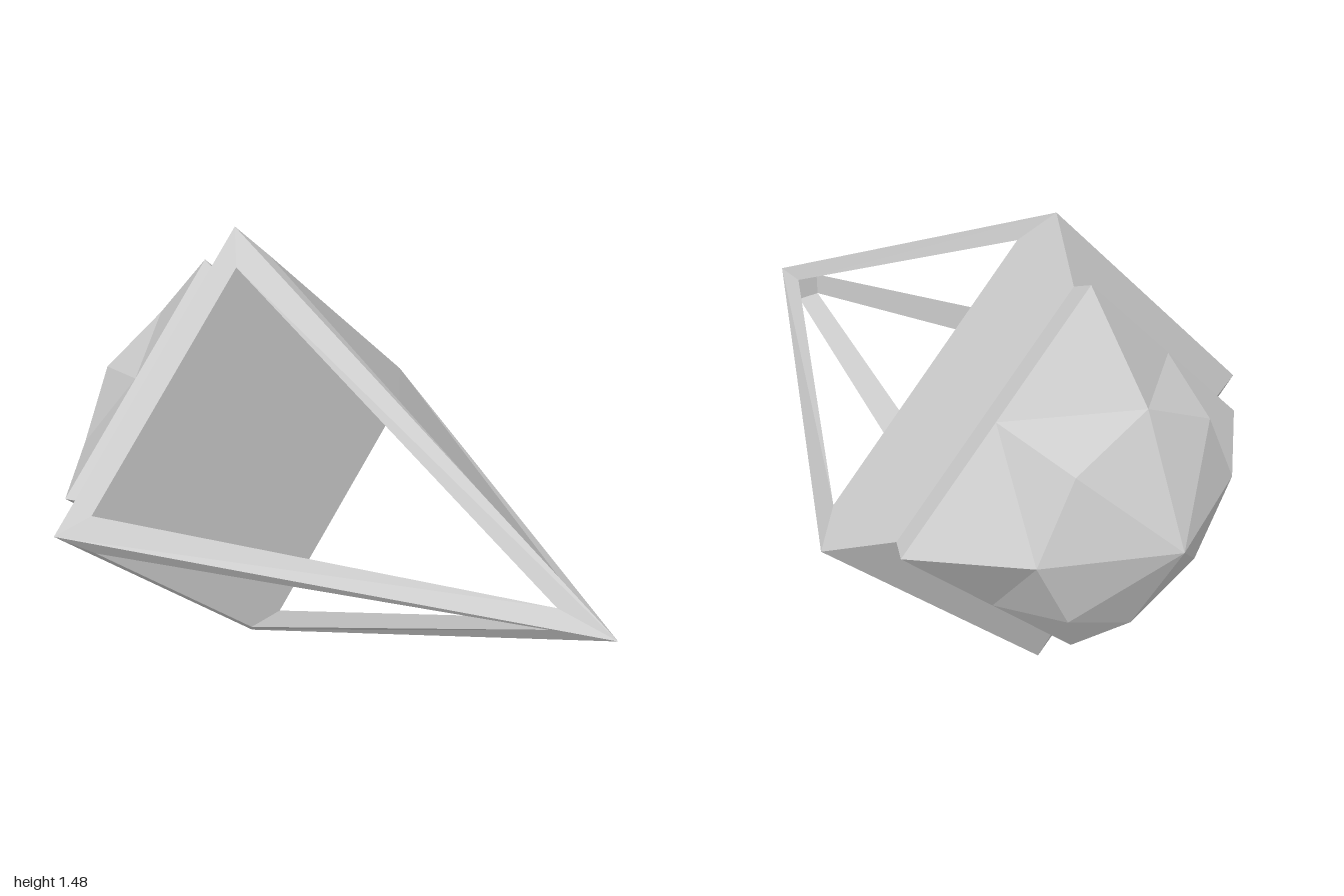
import * as THREE from 'three';

const material = new THREE.MeshStandardMaterial({ color: 0xcccccc, flatShading: true });

// Builds a mesh from convex faces of one quarter, repeated four times around the z axis
function quarterMesh(name, faces) {
  const points = [];
  const axis = new THREE.Vector3(0, 0, 1);
  for (let k = 0; k < 4; k++) {
    for (const face of faces) {
      const v = face.map((p) => new THREE.Vector3(...p).applyAxisAngle(axis, (k * Math.PI) / 2));
      for (let i = 1; i < v.length - 1; i++) points.push(v[0], v[i], v[i + 1]);
    }
  }
  const geometry = new THREE.BufferGeometry().setFromPoints(points);
  geometry.computeVertexNormals();
  const mesh = new THREE.Mesh(geometry, material);
  mesh.name = name;
  return mesh;
}

const mirrorY = ([x, y, z]) => [x, -y, z];

export function createModel() {
  const model = new THREE.Group();
  model.name = 'gemPyramid';
  const R = 0.74;

  // Corners of one pyramid side and of the triangular opening in it
  const P = [R, 0, -0.45], Q = [0, R, -0.45], tip = [0, 0, 1];
  const H1 = [0.653, 0.065, -0.376], H2 = [0.065, 0.653, -0.376], H3 = [0.036, 0.036, 0.826];

  // Open frame: outer borders, inner side of each strut, inside of the tip
  model.add(quarterMesh('pyramidFrame', [
    [P, Q, H2, H1],
    [Q, tip, H3, H2],
    [tip, P, H1, H3],
    [H1, mirrorY(H1), mirrorY(H3), H3],
    [[0, 0, H3[2]], H3, mirrorY(H3)],
  ]));

  // Plate closing the base of the frame
  const centre = [0, 0, H1[2]];
  model.add(quarterMesh('basePlate', [[centre, mirrorY(H1), H1], [centre, H1, H2]]));

  // Stepped collar behind the frame: radius and z of each ring
  const rings = [[R, -0.45], [0.563, -0.53], [0.594, -0.595]];
  const collar = [];
  for (let i = 0; i < rings.length - 1; i++) {
    const [[r0, z0], [r1, z1]] = [rings[i], rings[i + 1]];
    collar.push([[0, r0, z0], [r0, 0, z0], [r1, 0, z1], [0, r1, z1]]);
  }
  model.add(quarterMesh('collar', collar));

  // Faceted gem at the back: rim corners, rim midpoint, middle ring and point
  const [r, z] = rings[2];
  const C1 = [r, 0, z], C2 = [0, r, z], M = [r / 2, r / 2, z];
  const A1 = [0.345, 0, -0.83], A2 = [0, 0.345, -0.83], D = [0.23, 0.23, -0.83];
  const back = [0, 0, -1];
  model.add(quarterMesh('gem', [
    [M, C1, A1], [M, A1, D], [M, D, A2], [M, A2, C2],
    [A1, back, D], [D, back, A2],
  ]));

  model.children.forEach((part) => { part.position.y = R; });
  return model;
}
